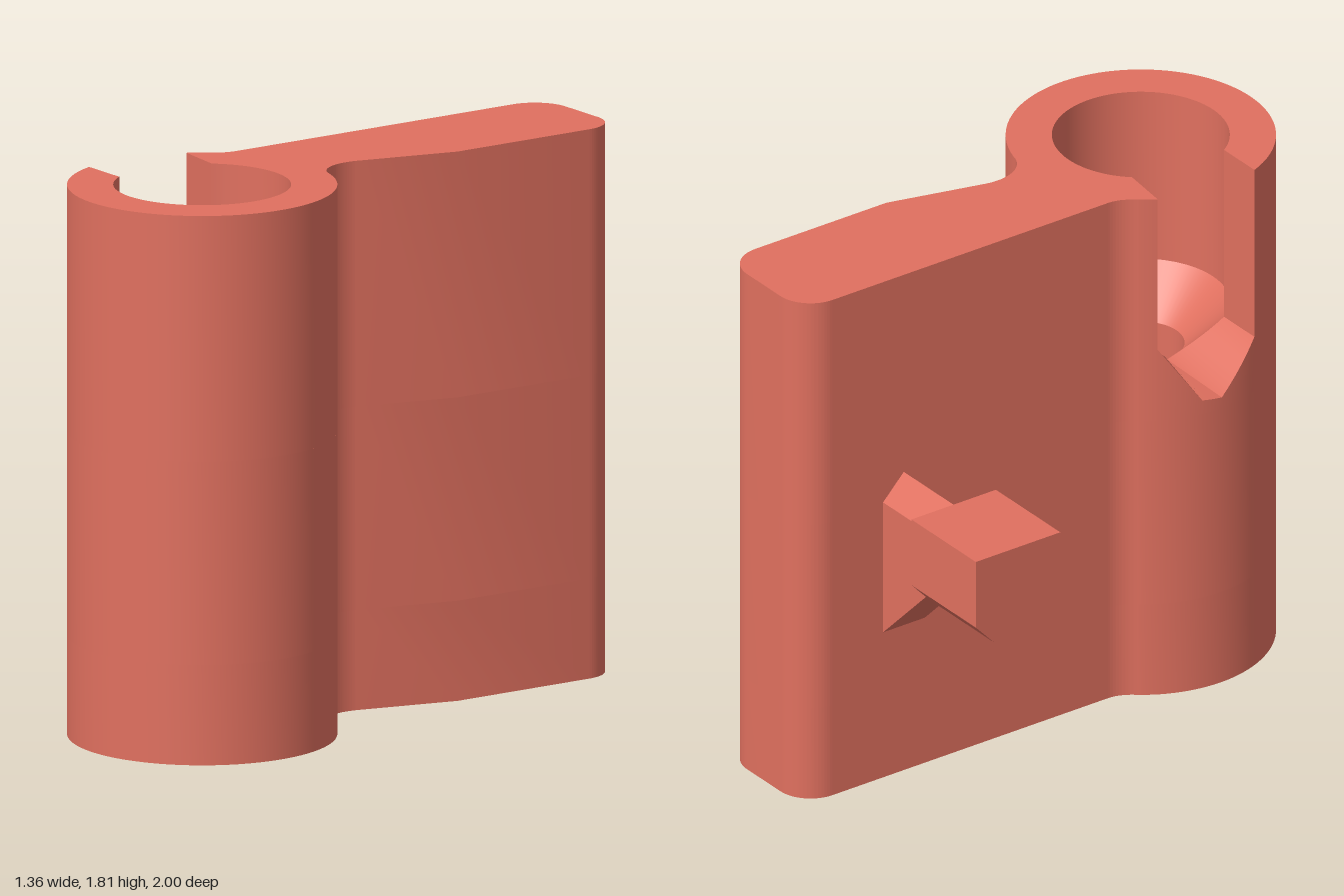
import * as THREE from 'three';
import { toCreasedNormals } from 'three/addons/utils/BufferGeometryUtils.js';

const CX = 0.245, CZ = 0.565;             // barrel axis
const R_OUT = 0.433, R_BORE = 0.285, R_PIN = 0.14, R_FOOT = 0.25;
const HEIGHT = 1.81, SEAT = 1.0;          // total height, start of the slotted upper part
const ANG_A = 1.30, ANG_B = 2.496;        // where the plate fillets meet the barrel

// Plan outline drawn with shape y = -z; the slotted version is C-shaped around the bore
function outline(slotted) {
  const s = new THREE.Shape();
  s.moveTo(-0.06, -0.21);
  s.lineTo(-0.06, 0.88);
  s.absarc(0.06, 0.88, 0.12, Math.PI, Math.PI / 2, true);
  s.lineTo(0.24, 1);
  s.absarc(0.24, 0.88, 0.12, Math.PI / 2, 0, true);
  s.lineTo(0.36, 0.36);
  s.lineTo(0.275, 0.03);
  s.bezierCurveTo(0.255, -0.05, 0.29, -0.13, 0.36, -0.148);
  if (slotted) {
    s.absarc(CX, -CZ, R_OUT, ANG_A, -2.775, true);
    s.absarc(CX, -CZ, R_BORE, -2.566, 2.412, false);
    s.absarc(CX, -CZ, R_OUT, 2.635, ANG_B, true);
  } else {
    s.absarc(CX, -CZ, R_OUT, ANG_A, ANG_B - 2 * Math.PI, true);
  }
  s.quadraticCurveTo(-0.06, -0.26, -0.06, -0.21);
  return s;
}

// Vertical slab of the body between two heights, with an optional round hole
function slab(y0, y1, hole) {
  const s = outline(!hole);
  if (hole) s.holes.push(new THREE.Path().absarc(CX, -CZ, hole, 0, Math.PI * 2, false));
  const g = new THREE.ExtrudeGeometry(s, { depth: y1 - y0, bevelEnabled: false, curveSegments: 48 });
  g.rotateX(-Math.PI / 2).translate(0, y0, 0);
  return toCreasedNormals(g, 0.4);
}

const onAxis = (r, a, y) => [CX + r * Math.cos(a), y, CZ - r * Math.sin(a)];

// Conical seat in the bore, running into the V-shaped floor of the side slot
function seatGeometry() {
  // outer angle, inner angle, cone radius, outer floor height
  const keys = [
    [-2.775, -2.566, R_BORE, 1.2],
    [-3.13, -3.13, R_PIN, 1.04],
    [-3.3, -3.2, 0.15, 1.05],
    [-3.648, -3.871, R_BORE, 1.26],
  ];
  const pos = [];
  const coneY = r => 1.05 + (r - R_PIN) * 1.035;
  const section = ([outer, inner, r, y], slot) => {
    const pts = [onAxis(R_PIN, inner, SEAT), onAxis(R_PIN, inner, 1.05), onAxis(r, inner, coneY(r))];
    if (slot) pts.push(onAxis(R_OUT, outer, y), onAxis(R_OUT, outer, SEAT));
    return pts;
  };
  const join = (a, b) => {
    for (let i = 0; i < a.length - 1; i++) {
      pos.push(...a[i], ...b[i], ...b[i + 1], ...a[i], ...b[i + 1], ...a[i + 1]);
    }
  };
  const N = 8;
  for (let k = 0; k < keys.length - 1; k++) {
    const at = t => section(keys[k].map((v, j) => v + (keys[k + 1][j] - v) * t), true);
    for (let i = 0; i < N; i++) join(at(i / N), at((i + 1) / N));
  }
  // rest of the cone, round the closed side of the barrel
  const from = -3.871, to = -2.566 - 2 * Math.PI, M = 60;
  const round = i => section([0, from + (to - from) * i / M, R_BORE, 0], false);
  for (let i = 0; i < M; i++) join(round(i), round(i + 1));
  const g = new THREE.BufferGeometry();
  g.setAttribute('position', new THREE.Float32BufferAttribute(pos, 3));
  return toCreasedNormals(g, 0.3);
}

// Peg neck: ridge-topped block whose underside flares at 45 degrees into the plate
function neckGeometry() {
  const zs = [-0.68, -0.598, -0.515];
  const profile = [[-0.34, 0.77], [-0.3, 0.77], [-0.05, 0.52]];
  const pos = [];
  const quad = (a, b, c, d) => pos.push(...a, ...b, ...c, ...a, ...c, ...d);
  const ring = ([x, y]) => [
    [x, y, zs[0]], [x, y, zs[2]], [x, 1.005, zs[2]], [x, 1.09, zs[1]], [x, 1.005, zs[0]],
  ];
  for (let k = 0; k < profile.length - 1; k++) {
    const a = ring(profile[k]), b = ring(profile[k + 1]);
    for (let i = 0; i < 5; i++) {
      const j = (i + 1) % 5;
      quad(a[i], b[i], b[j], a[j]);
    }
  }
  const g = new THREE.BufferGeometry();
  g.setAttribute('position', new THREE.Float32BufferAttribute(pos, 3));
  g.computeVertexNormals();
  return g;
}

// Peg head: block with both lower long edges chamfered
function headGeometry() {
  const s = new THREE.Shape([
    [0.43, 1.09], [0.765, 1.09], [0.765, 0.85], [0.69, 0.77], [0.505, 0.77], [0.43, 0.85],
  ].map(([x, y]) => new THREE.Vector2(x, y)));
  const g = new THREE.ExtrudeGeometry(s, { depth: 0.35, bevelEnabled: false });
  return g.rotateY(Math.PI / 2).translate(-0.68, 0, 0);
}

export function createModel() {
  const coral = new THREE.MeshStandardMaterial({ color: 0xe0705f, side: THREE.DoubleSide });
  coral.name = 'coral';
  const model = new THREE.Group();
  model.name = 'hingeKnuckle';
  const add = (name, geometry) => {
    const m = new THREE.Mesh(geometry, coral);
    m.name = name;
    model.add(m);
    return m;
  };

  // Plate and barrel, stacked by bore size
  add('lowerBody', slab(0, 0.33, R_FOOT));
  add('middleBody', slab(0.33, SEAT, R_PIN));
  add('upperBody', slab(SEAT, HEIGHT, 0));

  // Bore details
  add('seatAndSlotFloor', seatGeometry());
  const cone = new THREE.LatheGeometry(
    [new THREE.Vector2(R_PIN, 0.33), new THREE.Vector2(R_FOOT, 0.22)], 64);
  add('lowerSeat', cone).position.set(CX, 0, CZ);

  // Side peg
  add('pegNeck', neckGeometry());
  add('pegHead', headGeometry());
  return model;
}
